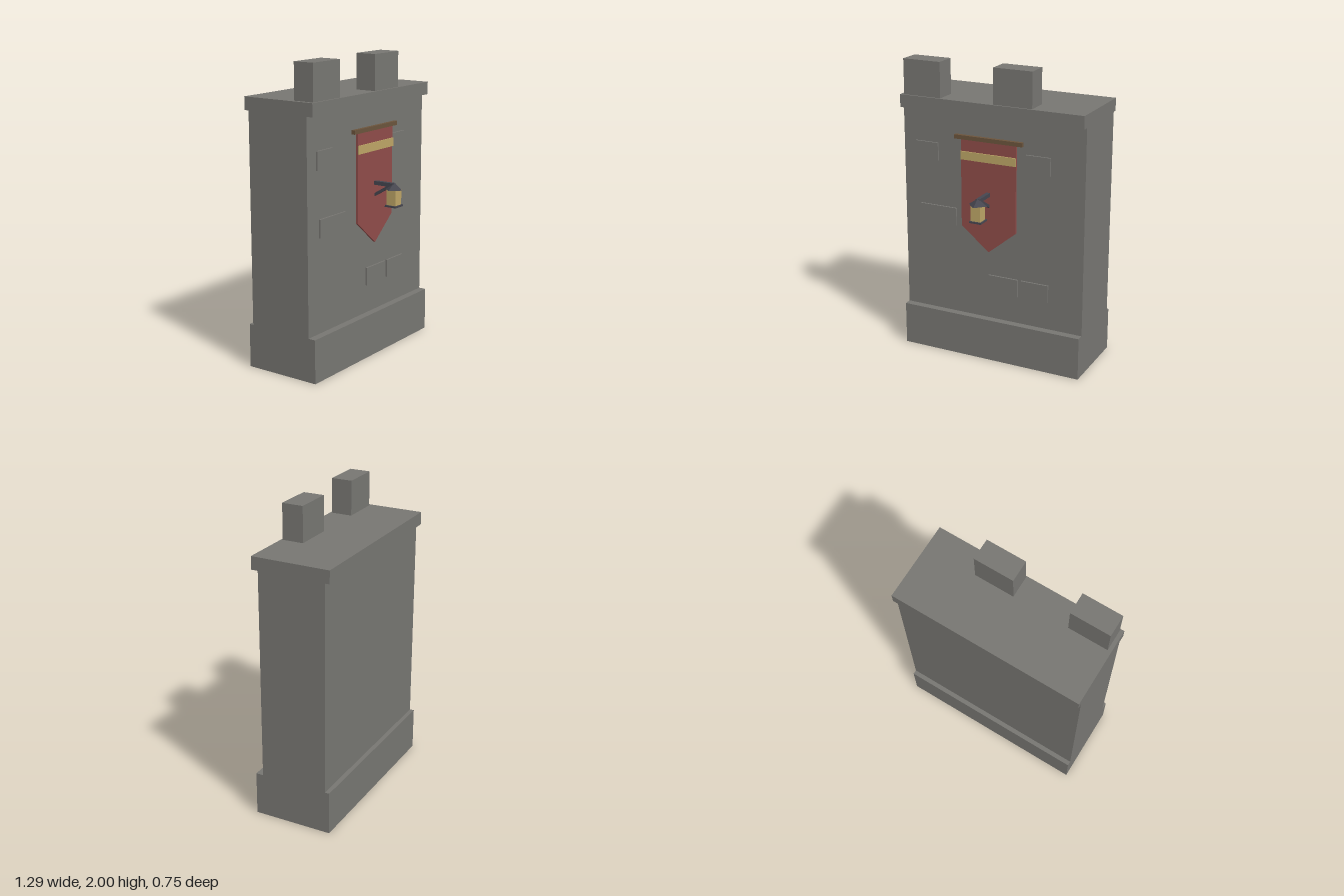
import * as THREE from 'three';

const flat = (name, color) => {
  const m = new THREE.MeshStandardMaterial({ color });
  m.name = name;
  return m;
};

export function createModel() {
  const model = new THREE.Group();
  model.name = 'wallSection';
  const stone = flat('stone', 0x777672);
  const cloth = flat('redCloth', 0x8f4c49);
  const gold = flat('gold', 0xbda566);
  const wood = flat('wood', 0x6b543c);
  const iron = flat('iron', 0x46464f);

  const add = (name, geometry, material, parent = model) => {
    const mesh = new THREE.Mesh(geometry, material);
    mesh.name = name;
    parent.add(mesh);
    return mesh;
  };
  // Box given by its limits on each axis
  const box = (name, material, [x0, x1], [y0, y1], [z0, z1], parent) => {
    const g = new THREE.BoxGeometry(x1 - x0, y1 - y0, z1 - z0);
    g.translate((x0 + x1) / 2, (y0 + y1) / 2, (z0 + z1) / 2);
    return add(name, g, material, parent);
  };

  // Wall with plinth and coping
  const width = [-0.645, 0.645];
  box('plinth', stone, width, [0, 0.29], [-0.37, 0.16]);
  box('wallBody', stone, width, [0.29, 1.68], [-0.34, 0.11]);
  box('coping', stone, width, [1.68, 1.765], [-0.372, 0.155]);

  // Battlements
  for (const x of [[-0.62, -0.353], [0.025, 0.293]]) {
    box('merlon', stone, x, [1.765, 2], [0, 0.143]);
  }

  // Raised stones on the front face
  for (const [x0, x1, y0] of [
    [-0.555, -0.39, 1.34], [0.24, 0.41, 1.34], [-0.53, -0.26, 0.91],
    [-0.025, 0.188, 0.48], [0.212, 0.405, 0.48],
  ]) {
    box('raisedStone', stone, [x0, x1], [y0, y0 + 0.12], [0.1, 0.122]);
  }

  // Pointed banner hanging from a wooden rail
  const banner = new THREE.Group();
  banner.name = 'banner';
  model.add(banner);
  const outline = new THREE.Shape([
    [-0.195, 1.53], [-0.195, 0.94], [0, 0.78], [0.195, 0.94], [0.195, 1.53],
  ].map(([x, y]) => new THREE.Vector2(x, y)));
  const sheet = new THREE.ExtrudeGeometry(outline, { depth: 0.013, bevelEnabled: false });
  add('bannerCloth', sheet.translate(0, 0, 0.153), cloth, banner);
  box('bannerStripe', gold, [-0.195, 0.195], [1.39, 1.445], [0.166, 0.175], banner);
  box('bannerRail', wood, [-0.24, 0.24], [1.523, 1.55], [0.15, 0.174], banner);

  // Lantern on a braced bracket
  const lantern = new THREE.Group();
  lantern.name = 'lantern';
  model.add(lantern);
  box('bracketArm', iron, [-0.013, 0.013], [1.165, 1.19], [0.115, 0.315], lantern);
  const rise = 0.105, run = 0.175;
  const brace = add('bracketBrace',
    new THREE.BoxGeometry(0.018, 0.018, Math.hypot(rise, run)), iron, lantern);
  brace.position.set(0, 1.07 + rise / 2, 0.118 + run / 2);
  brace.rotation.x = -Math.atan2(rise, run);

  const z = 0.311;
  const roof = add('lanternRoof', new THREE.ConeGeometry(0.064, 0.045, 4).toNonIndexed(), iron, lantern);
  roof.geometry.computeVertexNormals();
  roof.position.set(0, 1.1725, z);
  box('lanternGlass', gold, [-0.034, 0.034], [1.05, 1.15], [z - 0.034, z + 0.034], lantern);
  box('lanternFloor', iron, [-0.042, 0.042], [1.038, 1.05], [z - 0.042, z + 0.042], lantern);

  return model;
}
